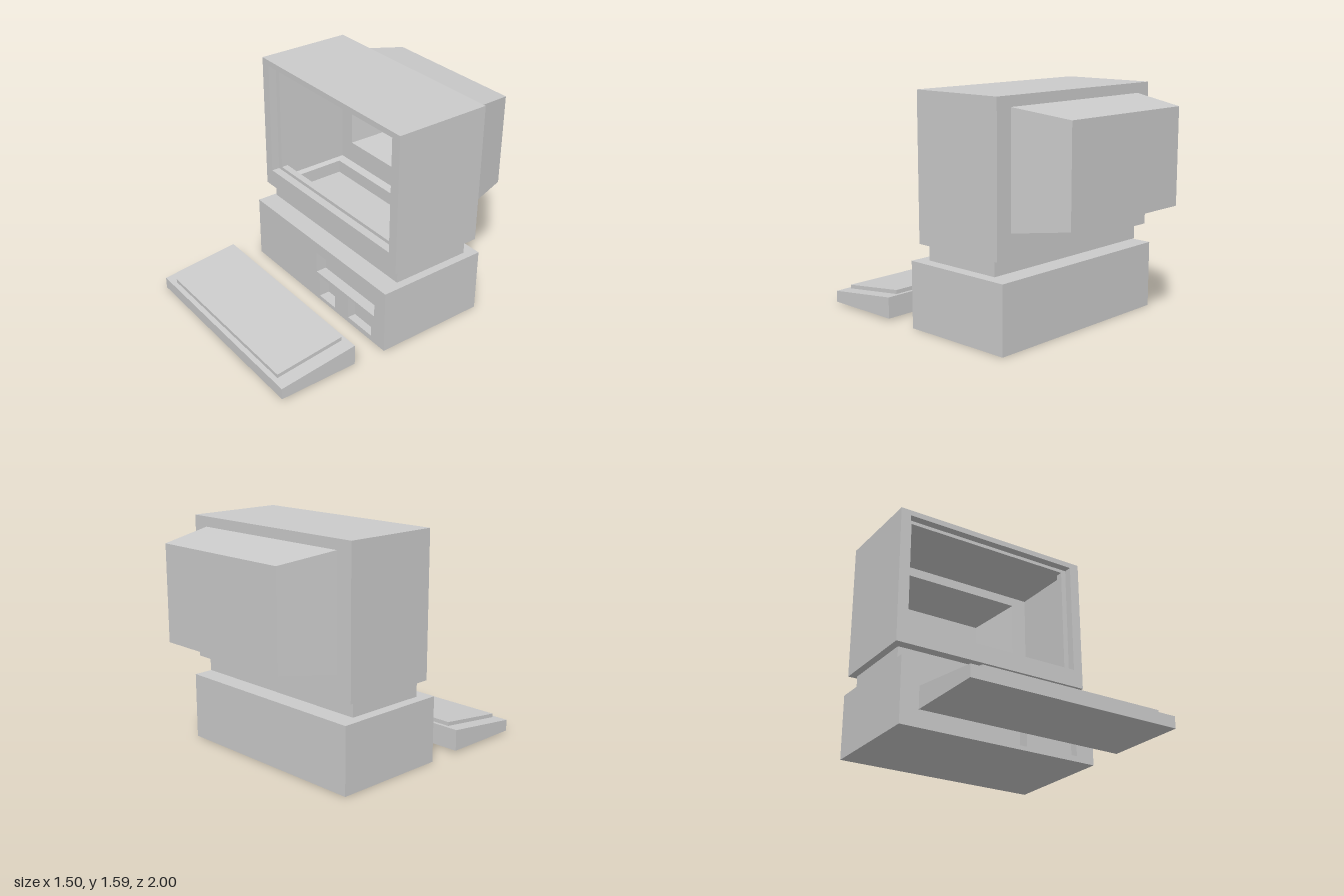
import * as THREE from 'three';

const material = new THREE.MeshStandardMaterial({ color: 0xcccccc, flatShading: true, side: THREE.DoubleSide });

// Rectangle facing the front, corners counter-clockwise from +z
const upright = (x0, x1, y0, y1, z) => [[x0, y0, z], [x1, y0, z], [x1, y1, z], [x0, y1, z]];
// Rectangle facing up, corners counter-clockwise from +y
const level = (x, z0, z1, y) => [[-x, y, z1], [x, y, z1], [x, y, z0], [-x, y, z0]];

// Joins four-cornered rings with flat sides; caps either end, and can leave one side open
function loft(name, rings, { capStart = false, capEnd = false, openSide = -1 } = {}) {
  const positions = [];
  const quad = (a, b, c, d) => positions.push(...a, ...b, ...c, ...a, ...c, ...d);
  for (let i = 0; i < rings.length - 1; i++) {
    const a = rings[i], b = rings[i + 1];
    for (let j = 0; j < 4; j++) {
      const k = (j + 1) % 4;
      if (j !== openSide) quad(a[j], b[j], b[k], a[k]);
    }
  }
  if (capStart) quad(...rings[0]);
  if (capEnd) quad(...[...rings[rings.length - 1]].reverse());
  const geometry = new THREE.BufferGeometry();
  geometry.setAttribute('position', new THREE.Float32BufferAttribute(positions, 3));
  geometry.computeVertexNormals();
  const mesh = new THREE.Mesh(geometry, material);
  mesh.name = name;
  return mesh;
}

function createMonitor() {
  const group = new THREE.Group();
  group.name = 'monitor';
  const front = upright(-0.75, 0.75, 0.59, 1.59, 0.1);
  const back = upright(-0.75, 0.75, 0.59, 1.59, -0.6);
  const tubeMouth = upright(-0.63, 0.63, 0.75, 1.52, -0.6);

  // Stepped opening in the front face
  group.add(loft('screenBezel', [
    upright(-0.638, 0.638, 0.745, 1.525, -0.01),
    upright(-0.638, 0.638, 0.745, 1.525, 0.04),
    upright(-0.677, 0.677, 0.72, 1.55, 0.04),
    upright(-0.677, 0.677, 0.72, 1.55, 0.1),
    front,
  ]));
  // Hollow housing, open below into the neck
  group.add(loft('housing', [front, back], { openSide: 0 }));
  group.add(loft('backPanel', [back, tubeMouth]));
  // Tapered rear bulge
  group.add(loft('tubeCover', [
    tubeMouth,
    upright(-0.54, 0.54, 0.805, 1.465, -1),
  ], { capEnd: true }));
  // Sloped underside and neck
  group.add(loft('neck', [
    level(0.75, -0.6, 0.1, 0.59),
    level(0.71, -0.54, 0.05, 0.578),
    level(0.71, -0.54, 0.05, 0.48),
  ], { capEnd: true }));
  return group;
}

function createBase() {
  const group = new THREE.Group();
  group.name = 'systemUnit';
  const z = 0.18;
  group.add(loft('case', [
    upright(-0.75, 0.75, 0, 0.463, z),
    upright(-0.75, 0.75, 0, 0.463, -0.645),
  ], { capEnd: true }));

  // Front panel cut by the drive slots
  const rectangle = (Kind, x0, x1, y0, y1) =>
    new Kind(upright(x0, x1, y0, y1, 0).map(([x, y]) => new THREE.Vector2(x, y)));
  const panel = rectangle(THREE.Shape, -0.75, 0.75, 0, 0.463);
  const slots = [
    ['wideDriveSlot', 0.08, -0.015, 0.64, 0.22, 0.38],
    ['smallDriveSlot', 0.08, 0.02, 0.2, 0.03, 0.197],
    ['middleDriveSlot', 0.06, 0.355, 0.61, 0.04, 0.205],
  ];
  for (const [name, depth, ...rect] of slots) {
    panel.holes.push(rectangle(THREE.Path, ...rect));
    group.add(loft(name, [upright(...rect, z - depth), upright(...rect, z)], { capStart: true }));
  }
  const face = new THREE.Mesh(new THREE.ShapeGeometry(panel), material);
  face.name = 'frontPanel';
  face.position.z = z;
  group.add(face);
  return group;
}

function createKeyboard() {
  const group = new THREE.Group();
  group.name = 'keyboard';
  // Wedge body, low at the front
  group.add(loft('keyboardBody', [
    upright(-0.75, 0.75, 0.012, 0.094, 1),
    upright(-0.75, 0.75, 0.012, 0.162, 0.425),
  ], { capStart: true, capEnd: true }));
  // Raised sloping key field
  group.add(loft('keyField', [
    upright(-0.65, 0.65, 0.097, 0.125, 0.965),
    upright(-0.65, 0.65, 0.157, 0.186, 0.46),
  ], { capStart: true, capEnd: true }));
  return group;
}

export function createModel() {
  const model = new THREE.Group();
  model.name = 'desktopComputer';
  model.add(createMonitor(), createBase(), createKeyboard());
  return model;
}
